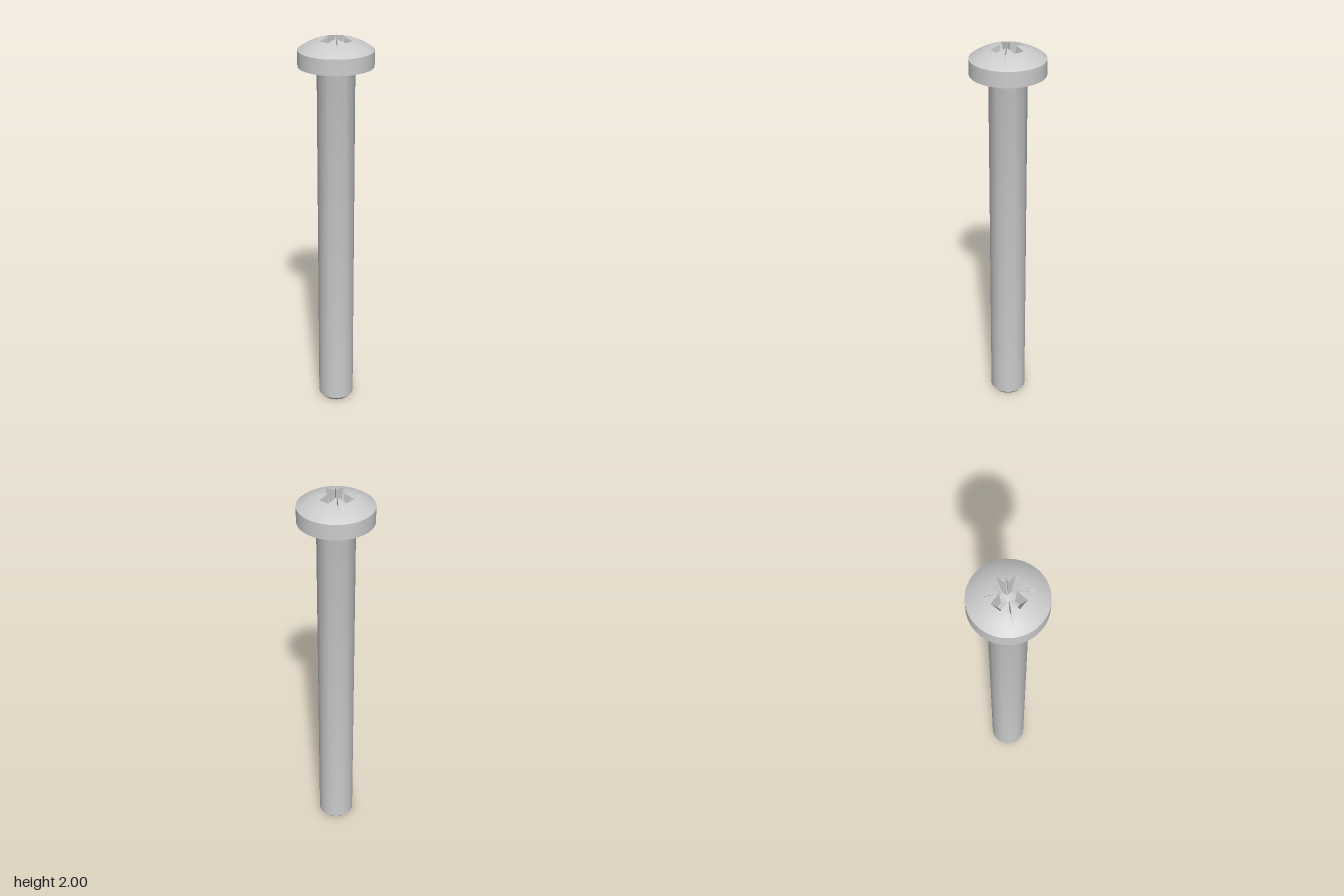
import * as THREE from 'three';
import { toCreasedNormals } from 'three/addons/utils/BufferGeometryUtils.js';

const material = new THREE.MeshStandardMaterial({ color: 0xcccccc });

// Head sizes
const HEAD_R = 0.185, HEAD_Y = 1.862, RIM_Y = 1.94, APEX_Y = 2.002;
const FLOOR_Y = 1.9, PIT_R = 0.034, PIT_DEPTH = 0.014;

// Height of the spherical dome at radius r
function domeY(r) {
  const sag = APEX_Y - RIM_Y;
  const R = (HEAD_R * HEAD_R + sag * sag) / (2 * sag);
  return APEX_Y - R + Math.sqrt(R * R - r * r);
}

// Height of the recess floor: flat, with a conical pit in the middle
const floorY = (r) => FLOOR_Y - PIT_DEPTH * (1 - Math.min(1, r / PIT_R));

// Cross outline with a thin diagonal slot between the arms, as [x, z] points.
// L: arm length, w: arm half width, e: slot end, s: slot half width
function crossOutline(L, w, e, s) {
  const quarter = [
    [L, -w], [L, w], [w + 2 * s, w], [e + s, e - s],
    [e - s, e + s], [w, w + 2 * s], [w, L],
  ];
  const steps = [4, 4, 1, 1, 1, 4];
  const out = [];
  for (let q = 0; q < 4; q++) {
    const c = [1, 0, -1, 0][q], n = [0, 1, 0, -1][q];
    steps.forEach((count, k) => {
      for (let i = 0; i < count; i++) {
        const t = i / count;
        const x = quarter[k][0] * (1 - t) + quarter[k + 1][0] * t;
        const z = quarter[k][1] * (1 - t) + quarter[k + 1][1] * t;
        out.push([x * c - z * n, x * n + z * c]);
      }
    });
  }
  return out;
}

// Skin a list of closed rings of equal point count
function skin(rings) {
  const pos = [];
  for (let i = 0; i < rings.length - 1; i++) {
    const n = rings[i].length;
    for (let j = 0; j < n; j++) {
      const k = (j + 1) % n;
      const a = rings[i][j], b = rings[i + 1][j], c = rings[i][k], d = rings[i + 1][k];
      pos.push(...a, ...b, ...c, ...c, ...b, ...d);
    }
  }
  const g = new THREE.BufferGeometry();
  g.setAttribute('position', new THREE.Float32BufferAttribute(pos, 3));
  return toCreasedNormals(g, 0.45);
}

function headGeometry() {
  const top = crossOutline(0.085, 0.026, 0.066, 0.0015);
  const bottom = crossOutline(0.048, 0.02, 0.0225, 0.001);
  const circle = (r, y) => top.map(([x, z]) => {
    const l = Math.hypot(x, z);
    return [x / l * r, y, z / l * r];
  });

  // Underside and rim
  const rings = [circle(0.09, HEAD_Y), circle(HEAD_R, HEAD_Y), circle(HEAD_R, RIM_Y)];
  // Dome, running inward from the rim to the edge of the recess
  const STEPS = 8;
  for (let i = 1; i <= STEPS; i++) {
    const t = i / STEPS;
    rings.push(top.map(([x, z]) => {
      const l = Math.hypot(x, z), r = HEAD_R + (l - HEAD_R) * t;
      return [x / l * r, domeY(r), z / l * r];
    }));
  }
  // Sloping recess walls, floor of the arms, then the conical pit
  rings.push(bottom.map(([x, z]) => [x, floorY(Math.hypot(x, z)), z]));
  rings.push(bottom.map(([x, z]) => {
    const l = Math.hypot(x, z), r = Math.min(l, PIT_R);
    return [x / l * r, floorY(r), z / l * r];
  }));
  rings.push(bottom.map(() => [0, floorY(0), 0]));
  return skin(rings);
}

// Plain shank with chamfered tip and a small fillet under the head
function shankGeometry() {
  const profile = [[0, 0], [0.078, 0], [0.093, 0.018], [0.093, 1.85], [0.095, 1.857], [0.1, HEAD_Y]]
    .map(([r, y]) => new THREE.Vector2(r, y));
  return toCreasedNormals(new THREE.LatheGeometry(profile, 40), 0.5);
}

export function createModel() {
  const group = new THREE.Group();
  group.name = 'screw';
  const add = (name, geometry) => {
    const mesh = new THREE.Mesh(geometry, material);
    mesh.name = name;
    group.add(mesh);
  };
  add('shank', shankGeometry());
  add('head', headGeometry());
  return group;
}
